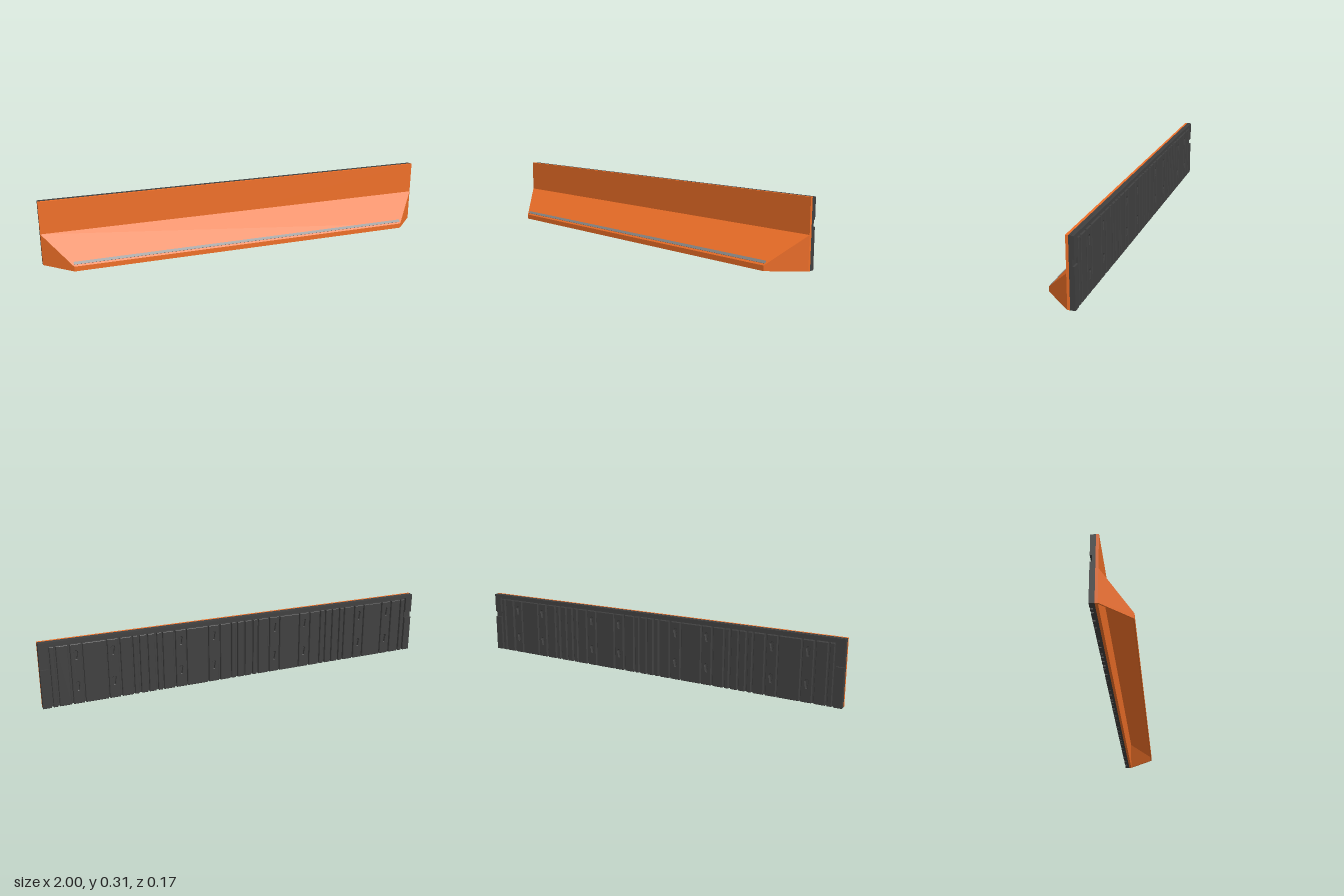
import * as THREE from 'three';

const orange = new THREE.MeshStandardMaterial({ color: 0xf07028, side: THREE.DoubleSide });
const dark = new THREE.MeshStandardMaterial({ color: 0x404040 });
const grey = new THREE.MeshStandardMaterial({ color: 0x858585 });

const H = 0.313;        // overall height
const BACK = -0.083;    // rear plane

function add(parent, name, geometry, material, x = 0, y = 0, z = 0) {
  const mesh = new THREE.Mesh(geometry, material);
  mesh.name = name;
  mesh.position.set(x, y, z);
  parent.add(mesh);
  return mesh;
}

// Box given by its limits
function slab(parent, name, material, x0, x1, y0, y1, z0, z1) {
  return add(parent, name, new THREE.BoxGeometry(x1 - x0, y1 - y0, z1 - z0), material,
    (x0 + x1) / 2, (y0 + y1) / 2, (z0 + z1) / 2);
}

// Corners of the hood's end, inset by wall thickness t
function hoodCorners(s, t) {
  return [
    [s * (1 - 1.41 * t), 0.155 - 1.41 * t, -0.048],
    [s * (0.87 - 0.41 * t), 0.024 - 0.41 * t, 0.083 - t],
    [s * (0.87 - 0.41 * t), 0, 0.083 - t],
    [s * (1 - 1.41 * t), 0, -0.048],
  ];
}

// Hollow hood, open below, with sloped front, low lip and mitred ends
function hoodGeometry() {
  const pos = [];
  const quad = (a, b, c, d) => pos.push(...a, ...b, ...c, ...a, ...c, ...d);
  const T = 0.006;
  for (const t of [0, T]) {
    const [A, B, C, D] = hoodCorners(1, t);
    const [a, b, c, d] = hoodCorners(-1, t);
    const faces = [[a, b, B, A], [b, c, C, B], [A, B, C, D], [d, c, b, a]];
    for (const f of faces) quad(...(t ? f.slice().reverse() : f));
  }
  // Rim joining the outer and inner skins
  const ring = t => {
    const p = hoodCorners(1, t), q = hoodCorners(-1, t);
    return [p[3], p[2], q[2], q[3]];
  };
  const o = ring(0), i = ring(T);
  for (let k = 0; k < 3; k++) quad(o[k], o[k + 1], i[k + 1], i[k]);
  const g = new THREE.BufferGeometry();
  g.setAttribute('position', new THREE.Float32BufferAttribute(pos, 3));
  g.computeVertexNormals();
  return g;
}

// Raised pad with softened rear edges and optional keyhole slots
function padGeometry(w, h, slots) {
  const e = 0.002, r = w / 2 - e;
  const s = new THREE.Shape();
  s.moveTo(-r, e); s.lineTo(r, e); s.lineTo(r, h - e); s.lineTo(-r, h - e); s.closePath();
  for (const y of slots) {
    const p = new THREE.Path();
    p.moveTo(-0.005, y - 0.022); p.lineTo(-0.009, y + 0.004);
    p.absarc(0, y + 0.012, 0.011, Math.PI, 0, true);
    p.lineTo(0.009, y + 0.004); p.lineTo(0.005, y - 0.022); p.closePath();
    s.holes.push(p);
  }
  return new THREE.ExtrudeGeometry(s, {
    depth: 0.011, bevelEnabled: true, bevelThickness: e, bevelSize: e, bevelSegments: 1, curveSegments: 6,
  });
}

export function createModel() {
  const model = new THREE.Group();

  // Front plate and hood
  slab(model, 'frontPlate', orange, -1, 1, 0, H, -0.06, -0.048);
  add(model, 'hood', hoodGeometry(), orange);

  // Strip along the foot of the slope
  const strip = add(model, 'slopeStrip', new THREE.BoxGeometry(1.74, 0.014, 0.004), grey, 0, 0.036, 0.071);
  strip.rotation.x = -Math.PI / 4;

  // Rear backing with a border along the top
  const backing = new THREE.Group();
  backing.name = 'backing';
  model.add(backing);
  slab(backing, 'backingBase', dark, -1, 1, 0, H, -0.07, -0.06);
  slab(backing, 'topBorder', dark, -1, 1, 0.296, H - 0.001, BACK, -0.07);

  // Four repeated modules of upright pads and ribs
  const padTop = 0.288;
  const slots = [0.085, 0.235];
  for (let m = 0; m < 4; m++) {
    const cx = -0.75 + m * 0.5;
    const module = new THREE.Group();
    module.name = 'backingModule';
    module.position.x = cx;
    backing.add(module);
    const pad = (name, x, w, holes = []) =>
      add(module, name, padGeometry(w, padTop, holes), dark, x, 0, BACK + 0.002);
    pad('centrePad', 0, 0.106);
    for (const s of [-1, 1]) {
      pad('slottedPad', s * 0.085, 0.05, slots);
      pad('wideRib', s * 0.147, 0.052);
      pad('narrowRib', s * 0.192, 0.02);
      // Outer ends of the panel carry a notch instead of a full rib
      const outer = Math.abs(cx + s * 0.25) > 0.9;
      if (!outer) pad('joinRib', s * 0.23, 0.032);
      else {
        const x0 = Math.min(s * 0.212, s * 0.25), x1 = Math.max(s * 0.212, s * 0.25);
        slab(module, 'endPadLower', dark, x0, x1, 0, 0.185, BACK, -0.07);
        slab(module, 'endPadUpper', dark, x0, x1, 0.215, 0.296, BACK, -0.07);
        slab(module, 'endNotchFloor', dark, x0, x1, 0.185, 0.215, -0.074, -0.07);
      }
    }
  }
  return model;
}
